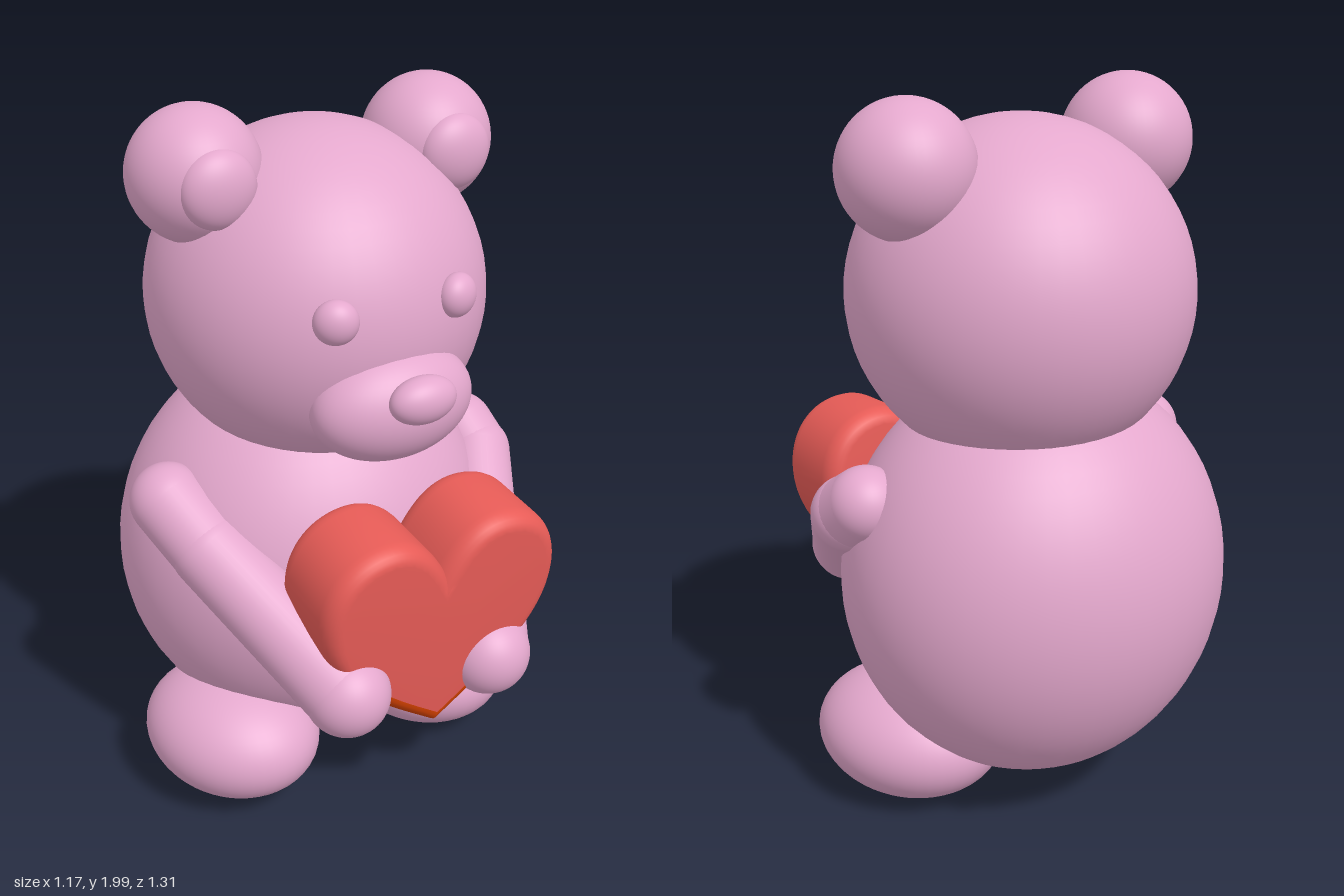
import * as THREE from 'three';
import { toCreasedNormals } from 'three/addons/utils/BufferGeometryUtils.js';

const mat = (name, color) => {
  const m = new THREE.MeshStandardMaterial({ color });
  m.name = name;
  return m;
};

export function createModel() {
  const pink = mat('pink plush', 0xe4a8cd);
  const red = mat('heart red', 0xe85c57);
  const orange = mat('heart orange', 0xd84300);
  const model = new THREE.Group();
  model.name = 'teddyBear';
  const TURN = -0.355; // body, head and heart all turn towards the bear's right

  // Stretched sphere at a position
  function ball(parent, name, pos, radii) {
    const mesh = new THREE.Mesh(new THREE.SphereGeometry(1, 48, 32), pink);
    mesh.name = name;
    mesh.position.set(...pos);
    mesh.scale.set(...radii);
    parent.add(mesh);
    return mesh;
  }

  const body = ball(model, 'body', [0.04, 0.674, -0.147], [0.547, 0.584, 0.503]);
  body.rotation.y = TURN;

  // Head with ears, eyes, muzzle and nose
  const head = new THREE.Group();
  head.name = 'head';
  head.position.set(0.044, 1.455, -0.1);
  head.rotation.y = TURN;
  model.add(head);
  ball(head, 'skull', [0, 0, 0], [0.462, 0.462, 0.462]);
  ball(head, 'muzzle', [0, -0.165, 0.405], [0.227, 0.152, 0.142]);
  ball(head, 'nose', [-0.002, -0.095, 0.555], [0.092, 0.062, 0.055]);
  for (const [side, s] of [['left', 1], ['right', -1]]) {
    const x = 0.008 + s * 0.341;
    const y = 0.362 - s * 0.005;
    ball(head, side + 'Ear', [x, y, -0.013], [0.176, 0.176, 0.176]);
    ball(head, side + 'InnerEar', [x, y, 0.128], [0.101, 0.101, 0.06]);
    const eye = ball(head, side + 'Eye', [0.003 + s * 0.174, 0.095, 0.42], [0.058, 0.058, 0.045]);
    eye.rotation.y = s * 0.39;
  }

  // Feet
  ball(model, 'leftFoot', [0.285, 0.183, 0.11], [0.238, 0.178, 0.28]);
  ball(model, 'rightFoot', [-0.357, 0.205, -0.08], [0.23, 0.178, 0.272]);

  // Arms: tapered sections with round joints at shoulder, elbow and hand
  function arm(side, points, radii) {
    const group = new THREE.Group();
    group.name = side + 'Arm';
    const joints = points.map(p => new THREE.Vector3(...p));
    ['Shoulder', 'Elbow', 'Hand'].forEach((part, i) => {
      ball(group, side + part, points[i], [radii[i], radii[i], radii[i]]);
    });
    ['UpperArm', 'Forearm'].forEach((part, i) => {
      const a = joints[i], b = joints[i + 1];
      const dir = b.clone().sub(a);
      const geometry = new THREE.CylinderGeometry(radii[i + 1] * 0.98, radii[i], dir.length(), 40, 1, true);
      const section = new THREE.Mesh(geometry, pink);
      section.name = side + part;
      section.position.copy(a).add(b).multiplyScalar(0.5);
      section.quaternion.setFromUnitVectors(new THREE.Vector3(0, 1, 0), dir.normalize());
      group.add(section);
    });
    model.add(group);
  }
  arm('left', [[0.445, 0.937, 0.115], [0.428, 0.886, 0.187], [0.025, 0.555, 0.537]], [0.102, 0.104, 0.118]);
  arm('right', [[-0.433, 0.955, -0.212], [-0.432, 0.858, -0.06], [-0.397, 0.587, 0.388]], [0.105, 0.107, 0.116]);

  // Heart: bevelled extrusion, lower sides in a second colour
  const shape = new THREE.Shape();
  shape.moveTo(0, 0.1);
  shape.bezierCurveTo(0.045, 0.2, 0.09, 0.27, 0.165, 0.27);
  shape.bezierCurveTo(0.25, 0.27, 0.31, 0.21, 0.31, 0.11);
  shape.bezierCurveTo(0.31, -0.05, 0.16, -0.16, 0, -0.275);
  shape.bezierCurveTo(-0.16, -0.16, -0.31, -0.05, -0.31, 0.11);
  shape.bezierCurveTo(-0.31, 0.21, -0.25, 0.27, -0.165, 0.27);
  shape.bezierCurveTo(-0.09, 0.27, -0.045, 0.2, 0, 0.1);
  let geo = new THREE.ExtrudeGeometry(shape, {
    depth: 0.165, bevelSize: 0.042, bevelThickness: 0.055, bevelSegments: 6, curveSegments: 16,
  });
  geo.translate(0, 0, -0.0825);
  const sides = geo.groups[1];
  geo = toCreasedNormals(geo, 0.7);
  geo.clearGroups();
  const p = geo.attributes.position;
  let start = 0, current = 0;
  for (let i = 0; i < p.count; i += 3) {
    const y = (p.getY(i) + p.getY(i + 1) + p.getY(i + 2)) / 3;
    const index = i >= sides.start && y < -0.13 ? 1 : 0;
    if (index !== current) {
      geo.addGroup(start, i - start, current);
      start = i;
      current = index;
    }
  }
  geo.addGroup(start, p.count - start, current);
  const heart = new THREE.Mesh(geo, [red, orange]);
  heart.name = 'heart';
  heart.position.set(-0.115, 0.72, 0.397);
  heart.rotation.set(0.07, TURN, 0, 'YXZ');
  model.add(heart);

  return model;
}
